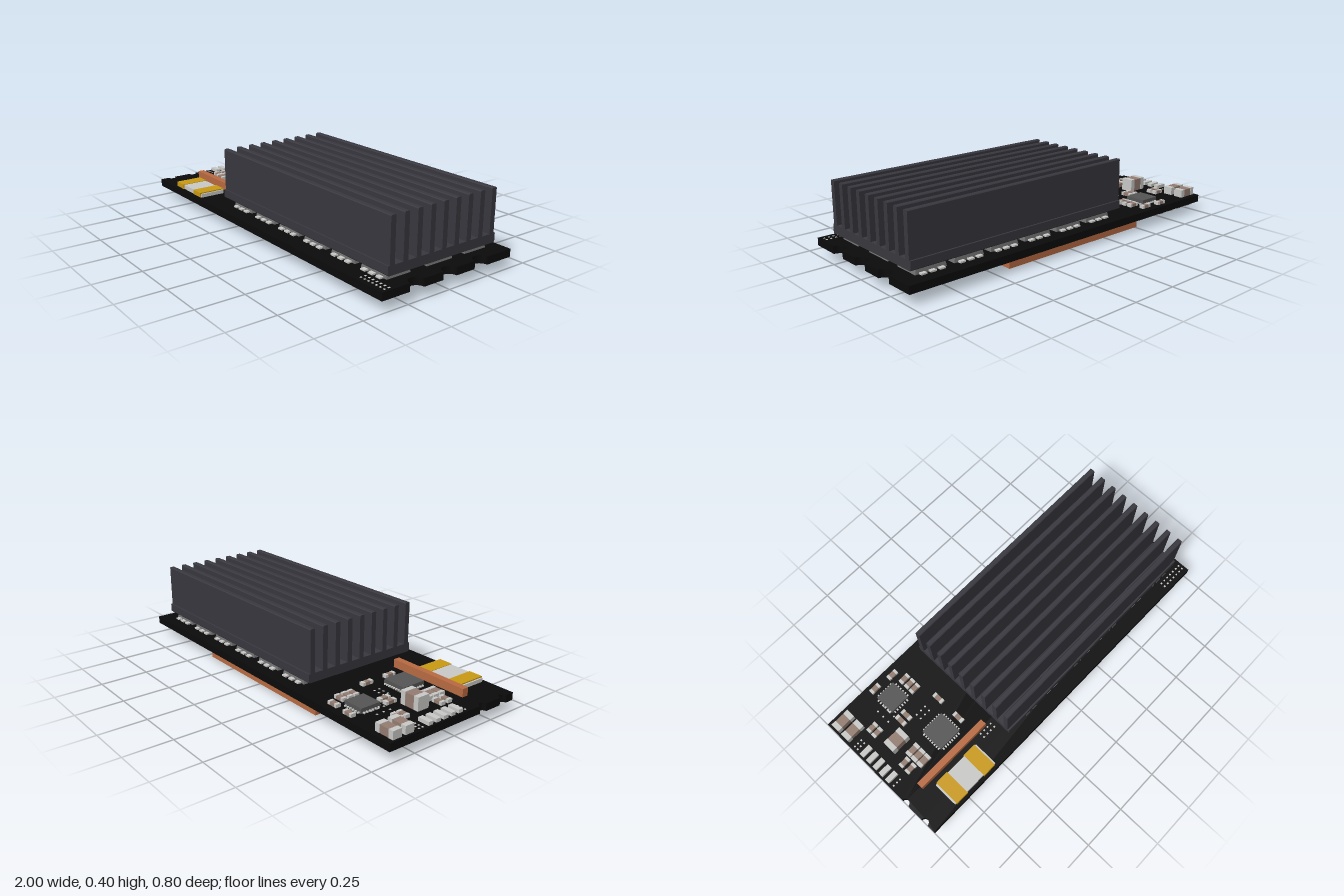
import * as THREE from 'three';
import { mergeGeometries } from 'three/addons/utils/BufferGeometryUtils.js';

const mat = (name, color) => {
  const m = new THREE.MeshStandardMaterial({ color });
  m.name = name;
  return m;
};

export function createModel() {
  const M = {
    board: mat('board black', 0x0b0b0c),
    sink: mat('anodised grey', 0x39383f),
    copper: mat('copper', 0xba6b42),
    metal: mat('tinned metal', 0xcbcbc9),
    ceramic: mat('ceramic brown', 0x957e72),
    gold: mat('gold', 0xcb9b12),
    chip: mat('chip grey', 0x565656),
    power: mat('transistor grey', 0x707070),
    dark: mat('ferrite dark', 0x3c3c3d),
  };
  const root = new THREE.Group();
  root.name = 'powerModule';
  const TOP = 0.102, BOT = 0.062;

  const add = (name, geo, m, parent = root) => {
    const mesh = new THREE.Mesh(geo, m);
    mesh.name = name;
    parent.add(mesh);
    return mesh;
  };
  // box given by its ranges on the three axes
  const range = (x0, x1, y0, y1, z0, z1) =>
    new THREE.BoxGeometry(x1 - x0, y1 - y0, z1 - z0).translate((x0 + x1) / 2, (y0 + y1) / 2, (z0 + z1) / 2);
  // box centred at x, z that stands on the board (side 1) or hangs under it (side -1)
  const onBoard = (x, z, w, h, d, side = 1) =>
    new THREE.BoxGeometry(w, h, d).translate(x, side > 0 ? TOP + h / 2 : BOT - h / 2, z);

  // circuit board with half-round edge notches
  const b = new THREE.Shape();
  b.moveTo(-1, -0.4);
  b.lineTo(1, -0.4);
  for (const s of [-0.2, 0, 0.2]) {
    b.lineTo(1, s - 0.042);
    b.absarc(1, s, 0.042, -Math.PI / 2, Math.PI / 2, true);
  }
  b.lineTo(1, 0.4);
  b.lineTo(-1, 0.4);
  for (const s of [-0.19, -0.33]) {
    b.lineTo(-1, s + 0.022);
    b.absarc(-1, s, 0.022, Math.PI / 2, -Math.PI / 2, true);
  }
  b.closePath();
  add('circuitBoard', new THREE.ExtrudeGeometry(b, { depth: TOP - BOT, bevelEnabled: false, curveSegments: 12 })
    .rotateX(-Math.PI / 2).translate(0, BOT, 0), M.board);

  // finned heat sink, one profile extruded along x
  const h = new THREE.Shape();
  h.moveTo(-0.32, 0.135);
  h.lineTo(0.335, 0.135);
  h.lineTo(0.34, 0.14);
  h.lineTo(0.34, 0.182);
  for (let i = 8; i >= 0; i--) {
    const c = -0.302 + i * 0.0773, t = 0.014, y = 0.407;
    h.lineTo(c + t, 0.182);
    h.lineTo(c + t, y - 0.004);
    h.lineTo(c + t - 0.004, y);
    h.lineTo(c - t + 0.004, y);
    h.lineTo(c - t, y - 0.004);
    h.lineTo(c - t, 0.182);
  }
  h.lineTo(-0.325, 0.182);
  h.lineTo(-0.325, 0.14);
  h.closePath();
  add('heatSink', new THREE.ExtrudeGeometry(h, { depth: 1.33, bevelEnabled: false })
    .rotateY(Math.PI / 2).translate(-0.38, 0, 0), M.sink);

  // three rows of power transistors with solder tabs under the heat sink
  const bodies = [], tabs = [];
  for (const [z, d] of [[0.23, 0.14], [-0.02, 0.16], [-0.25, 0.14]]) {
    for (let i = 0; i < 6; i++) {
      const x = -0.23 + i * 0.212;
      const g = new THREE.CylinderGeometry(0.46 * Math.SQRT2, 0.5 * Math.SQRT2, 1, 4).toNonIndexed();
      g.rotateY(Math.PI / 4).scale(0.17, 0.033, d).translate(x, TOP + 0.0165, z);
      g.computeVertexNormals();
      bodies.push(g);
      for (const s of [-1, 1]) {
        for (const k of [-1, 0, 1]) tabs.push(onBoard(x + k * 0.05, z + s * (d / 2 + 0.008), 0.03, 0.008, 0.024));
      }
    }
  }
  add('powerTransistors', mergeGeometries(bodies), M.power);
  add('transistorTabs', mergeGeometries(tabs), M.metal);

  // copper bus bars: one above the board, the rest below
  add('topBusBar', range(-0.89, -0.43, TOP, 0.145, 0.17, 0.205), M.copper);
  const y0 = 0.02, y1 = BOT;
  add('longBusBar', mergeGeometries([
    range(0.39, 0.43, y0, y1, -0.34, 0.24),
    range(-0.48, 0.43, y0, y1, -0.38, -0.34),
    range(-0.48, -0.44, y0, y1, -0.34, 0.22),
  ]), M.copper);
  add('shortBusBar', mergeGeometries([
    range(-0.395, -0.355, y0, y1, -0.26, 0.3),
    range(-0.63, -0.355, y0, y1, 0.3, 0.338),
  ]), M.copper);

  // chip capacitors: ceramic middle, metal ends; long side along x, or along z when turned
  const mids = [], ends = [];
  const capacitor = (x, z, len, wid, hgt, turned = false, side = 1) => {
    const e = len * 0.25;
    const part = (off, l, k, list) => list.push(turned
      ? onBoard(x, z + off, wid * k, hgt * k, l, side)
      : onBoard(x + off, z, l, hgt * k, wid * k, side));
    part(0, len - 2 * e, 0.96, mids);
    for (const s of [-1, 1]) part(s * (len - e) / 2, e, 1, ends);
  };
  // upper side
  for (const z of [-0.345, -0.272]) capacitor(-0.932, z, 0.11, 0.052, 0.043);
  capacitor(-0.81, -0.065, 0.11, 0.07, 0.07);
  for (const [x, z] of [[-0.85, -0.215], [-0.85, -0.178], [-0.695, -0.36], [-0.58, -0.35], [-0.55, -0.287],
    [-0.55, -0.247], [-0.55, -0.21], [-0.86, 0.04], [-0.86, 0.085]]) capacitor(x, z, 0.06, 0.028, 0.018);
  for (const z of [0.025, 0.065, 0.105]) capacitor(-0.785, z, 0.075, 0.034, 0.024);
  for (const [x, z] of [[-0.72, -0.135], [-0.68, -0.135], [-0.5, -0.08], [-0.5, 0.07]]) {
    capacitor(x, z, 0.065, 0.026, 0.018, true);
  }
  // lower side
  for (const x of [0.61, 0.82]) for (const z of [0.275, 0.04, -0.19]) capacitor(x, z, 0.085, 0.045, 0.04, true, -1);
  capacitor(0.47, 0.04, 0.085, 0.035, 0.03, true, -1);
  for (const x of [0.29, 0.09, -0.1]) for (const z of [-0.12, 0.12, 0.36]) capacitor(x, z, 0.045, 0.025, 0.016, true, -1);
  for (const x of [0.23, 0.165, 0.1, 0.035, -0.16, -0.225, -0.29]) capacitor(x, -0.25, 0.065, 0.028, 0.026, true, -1);
  for (let i = 0; i < 4; i++) for (let j = 0; j < 4; j++) capacitor(-0.7 - i * 0.08, -0.36 + j * 0.055, 0.055, 0.028, 0.018, false, -1);
  for (const [x, z] of [[-0.83, -0.03], [-0.74, -0.03], [-0.83, 0.03], [-0.72, 0.04], [-0.62, 0.05]]) {
    capacitor(x, z, 0.06, 0.03, 0.02, true, -1);
  }
  add('capacitorBodies', mergeGeometries(mids), M.ceramic);
  add('capacitorEnds', mergeGeometries(ends), M.metal);

  // two square controller chips with pins on all sides
  const pins = [];
  for (const [x, z, w, n] of [[-0.665, -0.255, 0.115, 6], [-0.615, 0.06, 0.135, 8]]) {
    add('controllerChip', onBoard(x, z, w, 0.026, w), M.chip);
    for (let i = 0; i < n; i++) {
      const o = ((i + 0.5) / n - 0.5) * w * 0.92, e = w / 2 + 0.003;
      for (const s of [-1, 1]) {
        pins.push(onBoard(x + o, z + s * e, 0.008, 0.007, 0.016), onBoard(x + s * e, z + o, 0.016, 0.007, 0.008));
      }
    }
  }
  add('chipPins', mergeGeometries(pins), M.metal);

  // row of connector pads at the left end
  const pads = [];
  for (let i = 0; i < 5; i++) pads.push(onBoard(-0.957, -0.146 + i * 0.048, 0.065, 0.018, 0.028));
  add('connectorPads', mergeGeometries(pads), M.metal);

  // current shunt: gold blocks either side of a pale centre
  for (const s of [-1, 1]) {
    add('shuntTerminal', onBoard(-0.685 + s * 0.098, 0.31, 0.078, 0.026, 0.15), M.gold);
    add('shuntEdge', onBoard(-0.685 + s * 0.141, 0.31, 0.009, 0.02, 0.14), M.metal);
  }
  add('shuntCentre', onBoard(-0.685, 0.31, 0.118, 0.024, 0.14), M.metal);

  // small via dots
  const dots = [];
  const dotGrid = (x, z, nx, nz, step) => {
    for (let i = 0; i < nx; i++) for (let j = 0; j < nz; j++) dots.push(onBoard(x + i * step, z + j * step, 0.009, 0.002, 0.009));
  };
  dotGrid(0.83, 0.345, 7, 2, 0.025);
  dotGrid(0.905, 0.37, 4, 1, 0.025);
  dotGrid(-0.98, -0.21, 3, 2, 0.022);
  dotGrid(-0.98, 0.085, 3, 1, 0.022);
  dotGrid(-0.48, 0.215, 4, 2, 0.025);
  dotGrid(-0.77, -0.26, 2, 3, 0.04);
  dotGrid(-0.64, -0.1, 3, 2, 0.03);
  add('viaDots', mergeGeometries(dots), M.metal);

  // under-board inductor block and round-cornered can
  add('inductorBlock', range(-0.63, -0.51, 0.005, BOT, 0.2, 0.27), M.dark);
  const can = (r, a, c, name, m) => add(name,
    new THREE.CylinderGeometry(r, r, c - a, 8).toNonIndexed().rotateY(Math.PI / 8).translate(-0.75, (a + c) / 2, 0.2), m)
    .geometry.computeVertexNormals();
  can(0.066, 0.045, BOT, 'canBase', M.chip);
  can(0.05, 0.02, 0.045, 'canCore', M.dark);
  can(0.066, 0.006, 0.02, 'canCap', M.power);
  for (const s of [-1, 1]) add('canTerminal', range(-0.77, -0.73, 0.044, BOT, 0.2 + s * 0.068 - 0.008, 0.2 + s * 0.068 + 0.008), M.metal);

  return root;
}
